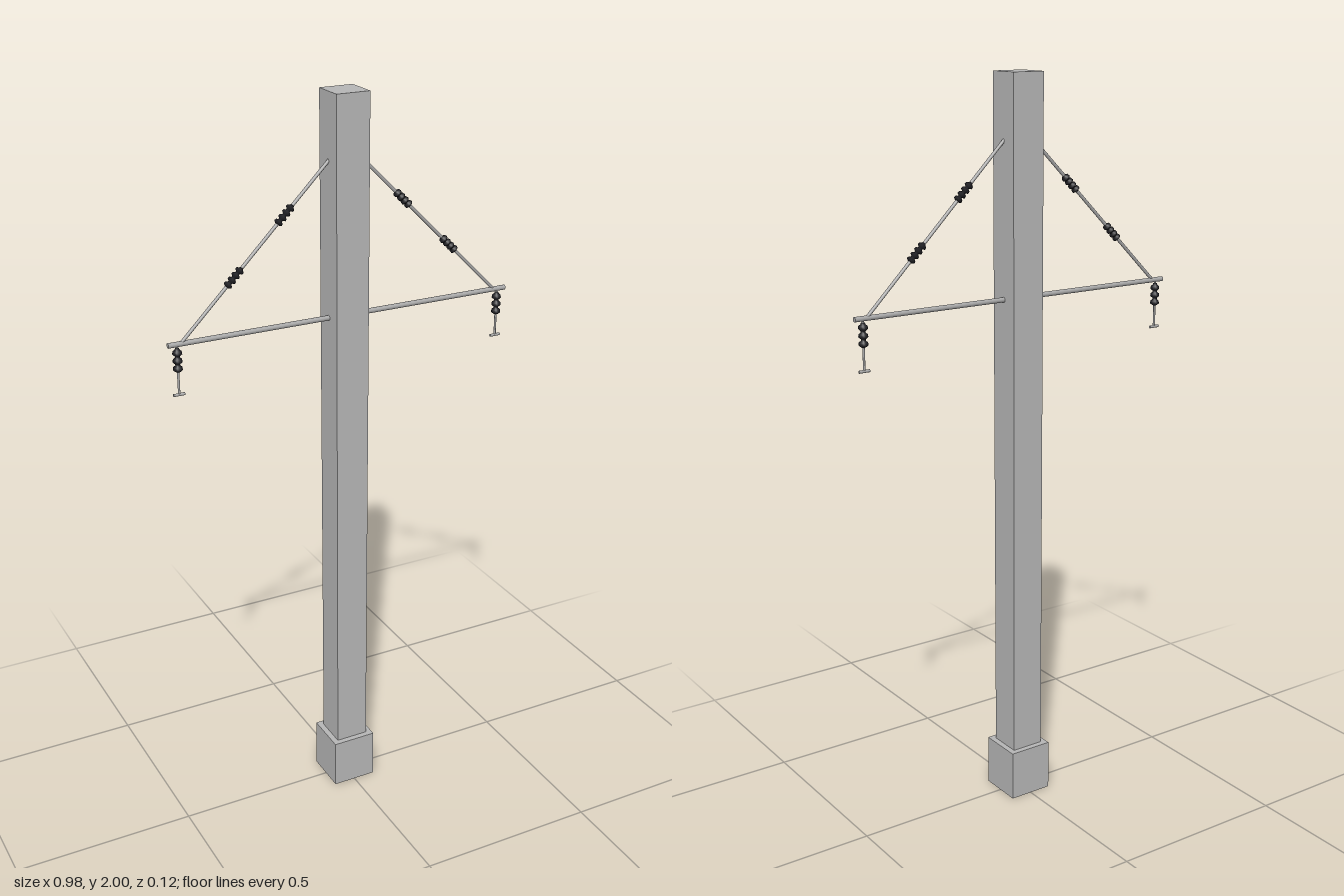
import * as THREE from 'three';

const concrete = new THREE.MeshStandardMaterial({ color: 0xb4b4b4 });
concrete.name = 'concrete grey';
const metal = new THREE.MeshStandardMaterial({ color: 0xa8a8a8 });
metal.name = 'steel grey';
const ceramic = new THREE.MeshStandardMaterial({ color: 0x1e1e22 });
ceramic.name = 'insulator black';

function add(parent, name, geometry, material, x = 0, y = 0, z = 0) {
  const mesh = new THREE.Mesh(geometry, material);
  mesh.name = name;
  mesh.position.set(x, y, z);
  parent.add(mesh);
  return mesh;
}

// Stack of ribbed sheds along local y, centred on the origin
function insulatorGeometry(length, radius, sheds) {
  const pts = [new THREE.Vector2(0, -length / 2)];
  const step = length / sheds;
  for (let i = 0; i < sheds; i++) {
    const y = -length / 2 + i * step;
    pts.push(
      new THREE.Vector2(radius * 0.5, y),
      new THREE.Vector2(radius, y + step * 0.25),
      new THREE.Vector2(radius * 0.92, y + step * 0.6),
      new THREE.Vector2(radius * 0.5, y + step * 0.8)
    );
  }
  pts.push(new THREE.Vector2(radius * 0.4, length / 2), new THREE.Vector2(0, length / 2));
  return new THREE.LatheGeometry(pts, 12);
}

// One side: diagonal stay with two insulators, and the hanging wire holder
function createSide(side) {
  const group = new THREE.Group();
  group.name = side > 0 ? 'leftFittings' : 'rightFittings';

  const top = new THREE.Vector3(side * 0.04, 1.835, 0);
  const end = new THREE.Vector3(side * 0.452, 1.425, 0);
  const stay = new THREE.Group();
  stay.name = 'stay';
  stay.position.copy(top);
  stay.quaternion.setFromUnitVectors(
    new THREE.Vector3(0, -1, 0), end.clone().sub(top).normalize());
  const length = top.distanceTo(end);
  add(stay, 'stayRod', new THREE.CylinderGeometry(0.0045, 0.0045, length, 10), metal, 0, -length / 2);
  for (const t of [0.305, 0.645]) {
    add(stay, 'stayInsulator', insulatorGeometry(0.06, 0.0115, 4), ceramic, 0, -length * t);
  }
  group.add(stay);

  const x = side * 0.464;
  add(group, 'hangerRod', new THREE.CylinderGeometry(0.0032, 0.0032, 0.13, 8), metal, x, 1.356);
  add(group, 'hangingInsulator', insulatorGeometry(0.062, 0.0125, 3), ceramic, x, 1.382);
  const clamp = add(group, 'wireClamp', new THREE.CylinderGeometry(0.004, 0.004, 0.03, 8), metal, x, 1.29);
  clamp.rotation.z = Math.PI / 2;
  return group;
}

export function createModel() {
  const model = new THREE.Group();
  model.name = 'utilityPole';

  add(model, 'footing', new THREE.BoxGeometry(0.124, 0.14, 0.124), concrete, 0, 0.07);
  add(model, 'post', new THREE.BoxGeometry(0.092, 1.9, 0.092), concrete, 0, 1.05);

  // Horizontal arm through the post
  const arm = add(model, 'crossArm', new THREE.CylinderGeometry(0.0068, 0.0068, 0.976, 12), metal, 0, 1.423);
  arm.rotation.z = Math.PI / 2;

  for (const side of [-1, 1]) model.add(createSide(side));
  return model;
}
